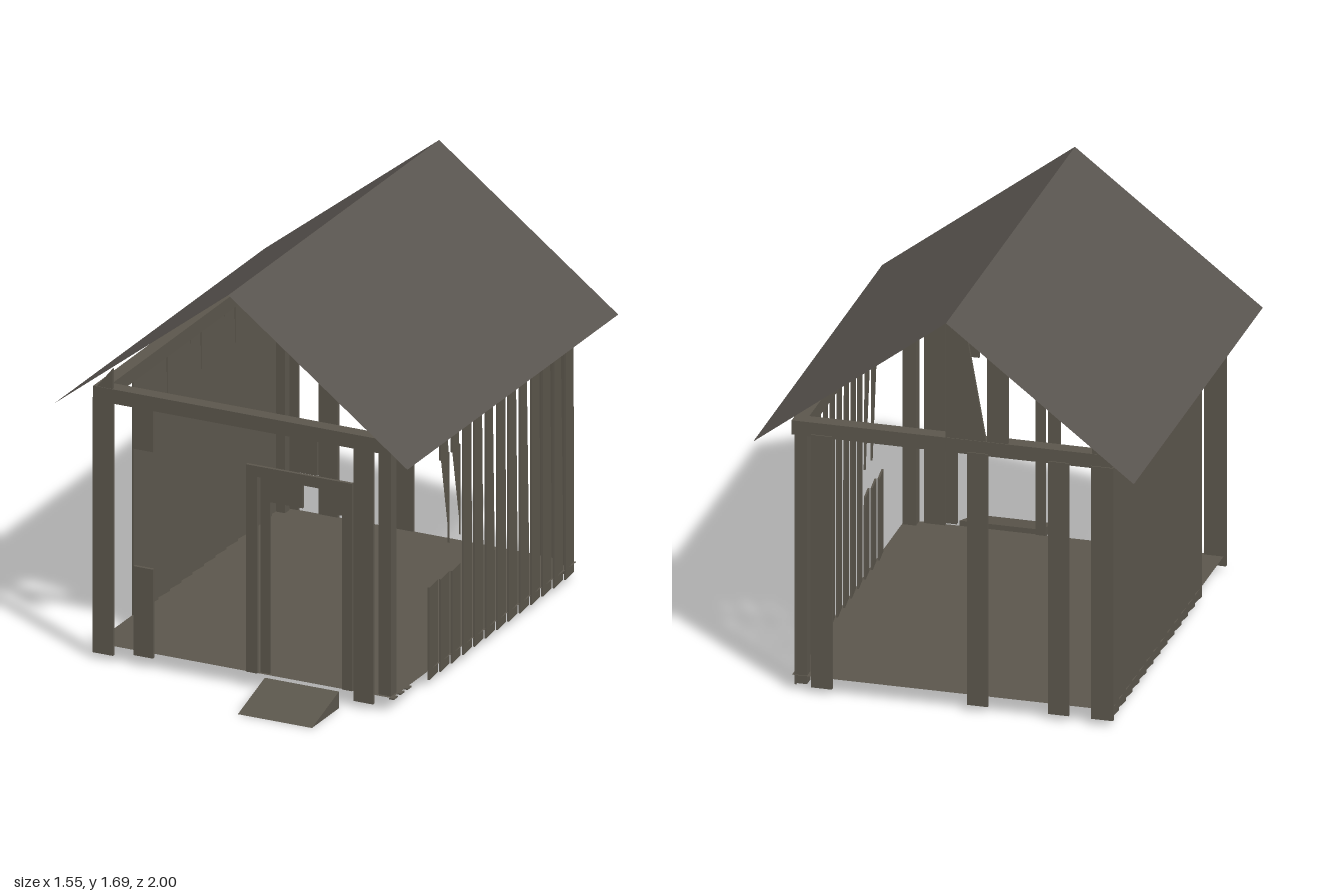
import * as THREE from 'three';

const wood = new THREE.MeshStandardMaterial({ color: 0x5b564c });
wood.name = 'weathered wood';
const roofing = new THREE.MeshStandardMaterial({ color: 0x59544f, side: THREE.DoubleSide });
roofing.name = 'grey roofing';
const flooring = new THREE.MeshStandardMaterial({ color: 0x5b564c, side: THREE.DoubleSide });
flooring.name = 'floor wood';

export function createModel() {
  const model = new THREE.Group();
  model.name = 'shack';

  const add = (name, geo, mat, x = 0, y = 0, z = 0) => {
    const mesh = new THREE.Mesh(geo, mat);
    mesh.name = name;
    mesh.position.set(x, y, z);
    model.add(mesh);
    return mesh;
  };
  // Box given by its extents
  const box = (name, x0, x1, y0, y1, z0, z1) =>
    add(name, new THREE.BoxGeometry(x1 - x0, y1 - y0, z1 - z0), wood,
      (x0 + x1) / 2, (y0 + y1) / 2, (z0 + z1) / 2);
  // Flat board cut to an outline, centred on its depth
  const board = (name, pts, z, depth = 0.014) => {
    const shape = new THREE.Shape(pts.map(p => new THREE.Vector2(p[0], p[1])));
    const geo = new THREE.ExtrudeGeometry(shape, { depth, bevelEnabled: false });
    geo.translate(0, 0, -depth / 2);
    return add(name, geo, wood, 0, 0, z);
  };

  // Roof: two thin slopes meeting at the ridge
  const ridgeX = -0.01, ridgeY = 1.685, eaveY = 1.09, roofLength = 1.835;
  for (const side of [-1, 1]) {
    const dx = side * 0.775 - ridgeX, dy = eaveY - ridgeY;
    const geo = new THREE.PlaneGeometry(Math.hypot(dx, dy), roofLength);
    geo.rotateX(-Math.PI / 2);
    const slope = add(side > 0 ? 'leftRoof' : 'rightRoof', geo, roofing,
      ridgeX + dx / 2, (ridgeY + eaveY) / 2, -0.0825);
    slope.rotation.z = Math.atan(dy / dx);
  }

  // Floor
  const floor = new THREE.PlaneGeometry(1.3, 1.61);
  floor.rotateX(-Math.PI / 2);
  add('floor', floor, flooring, 0, 0.066, -0.08);

  // Entrance ramp
  const rampGeo = new THREE.ExtrudeGeometry(
    new THREE.Shape([[-1, 0], [-0.765, 0], [-0.765, 0.07]].map(p => new THREE.Vector2(...p))),
    { depth: 0.325, bevelEnabled: false });
  rampGeo.rotateY(Math.PI / 2);
  add('ramp', rampGeo, wood, 0.115, 0, 0);

  // Ring beam on top of the walls
  box('frontBeam', -0.655, 0.65, 1.09, 1.15, 0.67, 0.73);
  box('backBeam', -0.655, 0.65, 1.09, 1.15, -0.89, -0.83);
  box('rightBeam', -0.655, -0.6, 1.09, 1.15, -0.83, 0.67);
  box('leftBeam', 0.595, 0.65, 1.09, 1.15, -0.83, 0.67);

  // Corner posts on the left side
  box('frontCornerPost', 0.59, 0.645, 0.07, 1.09, 0.67, 0.72);
  box('backCornerPost', 0.59, 0.635, 0.03, 1.09, -0.88, -0.83);
  // Inner corner post on the right side
  box('backCornerPost', -0.645, -0.6, 0.03, 1.09, -0.87, -0.83);

  // Side wall planks, narrowing upward and each turned a little
  const pitch = 0.0987;
  const plank = (name, side, i, y0, y1) => {
    const z = 0.4 - pitch * (i + 0.5);
    const h = pitch / 2 - 0.001, taper = 0.01 + 0.008 * ((i * 7) % 3);
    const at = y => h - taper * Math.max(0, (y - 0.35) / 0.75);
    const m = board(name, [[-h, y0], [h, y0], [h, Math.min(y1, 0.35 + y0 * 0.2)],
      [at(y1), y1], [-h, y1]], z, 0.008);
    m.position.x = side * 0.643;
    m.rotation.y = Math.PI / 2 + side * 0.12;
  };
  for (let i = 0; i < 13; i++) {
    plank('rightWallPlank', -1, i, 0.025, 1.1);
    // The left wall has a window opening in its first three planks
    if (i > 2) plank('leftWallPlank', 1, i, 0.025, 1.1);
    else {
      plank('leftWallLowPlank', 1, i, 0.025, 0.415);
      if (i > 0) plank('leftWallHighPlank', 1, i, 0.915, 1.1);
    }
  }

  // Back wall boards
  for (const [x0, x1] of [[-0.66, -0.57], [-0.48, -0.395], [-0.15, -0.065], [0.485, 0.57]])
    box('backWallBoard', x0, x1, 0.025, 1.1, -0.895, -0.881);

  // Back gable boards
  const gableZ = -0.88;
  board('gableBoard', [[-0.23, 1.15], [-0.145, 1.15], [-0.145, 1.56], [-0.23, 1.495]], gableZ);
  board('gableSplinter', [[-0.14, 1.15], [-0.055, 1.15], [-0.055, 1.63]], gableZ);
  board('gableBoard', [[-0.055, 1.15], [0.025, 1.15], [0.025, 1.64], [0.003, 1.655],
    [0, 1.61], [-0.028, 1.655], [-0.055, 1.635]], gableZ);
  // Small corner offcuts in both gables
  for (const z of [gableZ, 0.72])
    board('gableOffcut', [[-0.64, 1.15], [-0.572, 1.15], [-0.572, 1.235]], z);

  // Front wall boards
  box('frontWallBoard', -0.66, -0.57, 0.025, 1.1, 0.713, 0.727);
  box('frontWallBoard', 0.485, 0.57, 0.025, 1.1, 0.713, 0.727);
  box('frontLowBoard', -0.48, -0.395, 0.045, 0.42, 0.713, 0.727);
  box('frontHighBoard', -0.48, -0.395, 0.915, 1.1, 0.713, 0.727);
  box('aboveDoorBoard', 0.24, 0.325, 0.945, 1.1, 0.713, 0.727);
  box('doorTransomBoard', 0.075, 0.26, 0.795, 0.9, 0.713, 0.723);
  box('doorTransomBoard', 0.345, 0.435, 0.795, 0.9, 0.713, 0.723);
  box('doorInnerJamb', 0.075, 0.115, 0.07, 0.9, 0.71, 0.722);

  // Door frame
  board('doorJamb', [[0.02, 0.07], [0.068, 0.07], [0.068, 0.9], [0.02, 0.9]], 0.733);
  board('doorJamb', [[0.44, 0.07], [0.485, 0.07], [0.485, 0.9], [0.44, 0.9]], 0.733);
  board('doorLintel', [[0.02, 0.9], [0.485, 0.9], [0.485, 0.945], [0.02, 0.945]], 0.735);

  // Loose scraps by the front left corner
  for (let i = 0; i < 3; i++) {
    const z = 0.55 + i * 0.06;
    box('looseScrap', 0.61 + i * 0.01, 0.65, 0.05, 0.056, z, z + 0.035);
  }
  return model;
}
